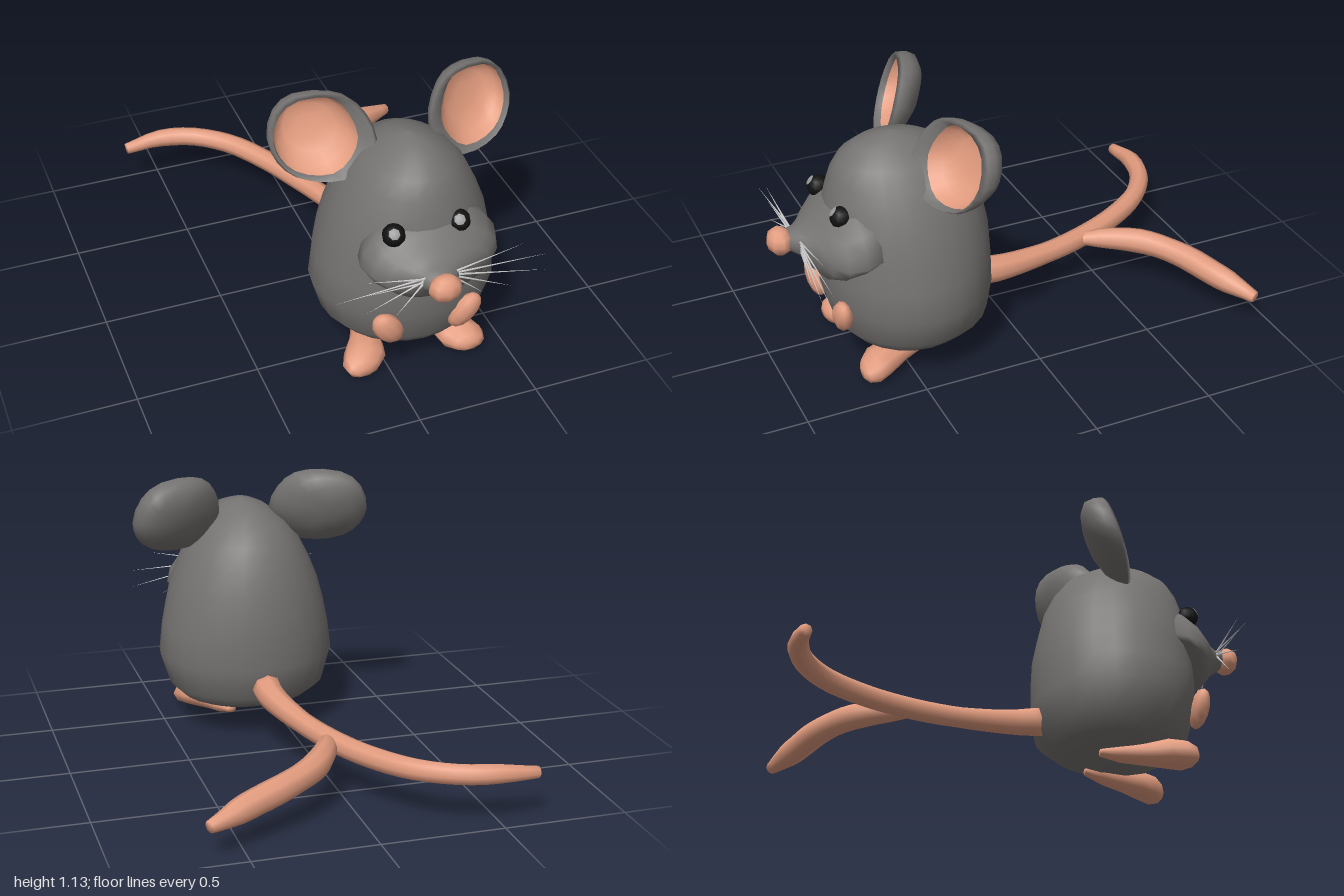
import * as THREE from 'three';

const V = (x, y, z) => new THREE.Vector3(x, y, z);
const mat = (name, color) => new THREE.MeshStandardMaterial({ name, color, side: THREE.DoubleSide });
const MID = 0.14; // x of the body's plane of symmetry

// Skin a list of closed rings, fanning each chosen end to its centre
function loft(rings, capStart = true, capEnd = true) {
  const n = rings[0].length, pos = [], idx = [];
  rings.forEach(r => r.forEach(p => pos.push(p.x, p.y, p.z)));
  for (let i = 0; i < rings.length - 1; i++) {
    for (let j = 0; j < n; j++) {
      const a = i * n + j, b = i * n + (j + 1) % n;
      idx.push(a, b, b + n, a, b + n, a + n);
    }
  }
  const cap = (i, flip) => {
    const c = rings[i].reduce((s, p) => s.add(p), V(0, 0, 0)).divideScalar(n);
    const k = pos.length / 3;
    pos.push(c.x, c.y, c.z);
    for (let j = 0; j < n; j++) {
      const a = i * n + j, b = i * n + (j + 1) % n;
      if (flip) idx.push(k, b, a); else idx.push(k, a, b);
    }
  };
  if (capStart) cap(0, true);
  if (capEnd) cap(rings.length - 1, false);
  const g = new THREE.BufferGeometry();
  g.setAttribute('position', new THREE.Float32BufferAttribute(pos, 3));
  g.setIndex(idx);
  g.computeVertexNormals();
  return g;
}

const angles = n => Array.from({ length: n }, (_, i) => i / n * Math.PI * 2);

// Sections along z: [z, centre x, centre y, half width, up, down]
const loftZ = (sections, n) => loft(sections.map(([z, cx, cy, w, up, down]) =>
  angles(n).map(a => V(cx + w * Math.cos(a), cy + Math.sin(a) * (Math.sin(a) > 0 ? up : down), z))));

// Tapered tube through points, radii interpolated along its length
function taper(points, radii, steps, n) {
  const curve = new THREE.CatmullRomCurve3(points.map(p => V(...p)));
  const { normals, binormals } = curve.computeFrenetFrames(steps);
  const rings = [];
  for (let i = 0; i <= steps; i++) {
    const t = i / steps * (radii.length - 1), k = Math.min(Math.floor(t), radii.length - 2);
    const r = THREE.MathUtils.lerp(radii[k], radii[k + 1], t - k), c = curve.getPointAt(i / steps);
    rings.push(angles(n).map(a => c.clone()
      .addScaledVector(normals[i], r * Math.cos(a)).addScaledVector(binormals[i], r * Math.sin(a))));
  }
  return loft(rings);
}

export function createModel() {
  const model = new THREE.Group();
  model.name = 'mouse';
  const fur = mat('greyFur', 0x757371), skin = mat('pinkSkin', 0xe29c7f);
  const black = mat('eyeBlack', 0x111111), shine = mat('eyeShine', 0x9a9a9a), hair = mat('whiskerWhite', 0xd8d8d8);
  const add = (name, geometry, material, parent = model) => {
    const m = new THREE.Mesh(geometry, material);
    m.name = name;
    parent.add(m);
    return m;
  };

  // Egg-shaped body: [y, half width, back z, front z]
  const body = [
    [0.075, 0.1, 0.38, 0.55], [0.1, 0.2, 0.29, 0.63], [0.14, 0.28, 0.19, 0.7], [0.2, 0.34, 0.11, 0.75],
    [0.33, 0.38, 0.095, 0.785], [0.45, 0.365, 0.095, 0.79], [0.55, 0.345, 0.1, 0.785], [0.65, 0.32, 0.12, 0.78],
    [0.75, 0.28, 0.145, 0.76], [0.84, 0.235, 0.19, 0.735], [0.91, 0.18, 0.245, 0.7],
    [0.965, 0.105, 0.34, 0.635], [0.99, 0.05, 0.42, 0.55], [1.0, 0.01, 0.47, 0.49]];
  add('body', loft(body.map(([y, w, b, f]) => angles(24).map(a =>
    V(MID + w * Math.sin(a), y, (b + f) / 2 + (f - b) / 2 * Math.cos(a))))), fur);

  // Snout with the overhanging smile
  add('snout', loftZ([
    [0.58, 0.145, 0.6, 0.26, 0.2, 0.02], [0.7, 0.145, 0.58, 0.285, 0.2, 0.06],
    [0.765, 0.145, 0.57, 0.26, 0.16, 0.105], [0.81, 0.14, 0.57, 0.21, 0.11, 0.12],
    [0.845, 0.13, 0.58, 0.14, 0.075, 0.1], [0.88, 0.115, 0.59, 0.08, 0.05, 0.06],
    [0.93, 0.105, 0.595, 0.045, 0.035, 0.035]], 20), fur);
  const nose = add('nose', new THREE.SphereGeometry(1, 8, 6), skin);
  nose.scale.set(0.068, 0.057, 0.053);
  nose.position.set(0.105, 0.595, 0.947);

  // Eyes with a thin highlight cap
  [[-0.02, 'rightEye'], [0.248, 'leftEye']].forEach(([x, name]) => {
    const eye = new THREE.Group();
    eye.name = name;
    eye.position.set(x, 0.727, 0.737);
    model.add(eye);
    add('eyeball', new THREE.SphereGeometry(0.046, 10, 8), black, eye);
    const cap = add('eyeHighlight', new THREE.SphereGeometry(0.048, 7, 2, 0, Math.PI * 2, 0, 0.5), shine, eye);
    cap.quaternion.setFromUnitVectors(V(0, 1, 0), V(-0.25, 0.65, 0.72).normalize());
  });

  // Cupped ears, outline given for one side and mirrored
  const rim = new THREE.CatmullRomCurve3([
    [-0.37, 0.96], [-0.34, 1.06], [-0.27, 1.12], [-0.14, 1.138], [-0.05, 1.115], [0.005, 1.05], [0.03, 0.96],
    [-0.01, 0.88], [-0.09, 0.815], [-0.2, 0.805], [-0.3, 0.835], [-0.35, 0.89]].map(p => V(p[0], p[1], 0)), true)
    .getPoints(22).slice(0, 22);
  for (const side of [1, -1]) {
    const ring = (sx, sy, depth, shift) => {
      const r = rim.map(p => {
        const x = -0.17 + shift + (p.x + 0.17) * sx, y = 0.97 + (p.y - 0.97) * sy;
        return V(MID + side * (x - MID), y, 0.385 + 0.3 * (x + 0.17) - 0.34 * (y - 0.97) - depth);
      });
      return side > 0 ? r : r.reverse();
    };
    const ear = new THREE.Group();
    ear.name = side > 0 ? 'rightEar' : 'leftEar';
    model.add(ear);
    add('earShell', loft([
      ring(0.78, 0.9, 0.03, -0.02), ring(0.93, 0.96, 0, 0), ring(1, 1, 0.015, 0), ring(0.96, 0.96, 0.055, -0.002),
      ring(0.82, 0.84, 0.095, -0.008), ring(0.55, 0.58, 0.125, -0.012), ring(0.25, 0.27, 0.138, -0.015)],
    false, true), fur, ear);
    add('innerEar', loft([
      ring(0.25, 0.27, 0.108, -0.02), ring(0.5, 0.55, 0.1, -0.02), ring(0.68, 0.78, 0.075, -0.02),
      ring(0.78, 0.9, 0.03, -0.02)].reverse().map(r => r.slice().reverse()), false, true), skin, ear);
  }

  // Whiskers: a fan of thin hairs on each side of the nose
  const whisker = (from, to) => {
    const d = to.clone().sub(from);
    const m = add('whisker', new THREE.ConeGeometry(0.0055, d.length(), 4), hair);
    m.position.copy(from).addScaledVector(d, 0.5);
    m.quaternion.setFromUnitVectors(V(0, 1, 0), d.normalize());
  };
  [[-0.32, 0.6], [-0.2, 0.668], [-0.19, 0.52], [-0.075, 0.47], [-0.2, 0.605]]
    .forEach(([x, y], i) => whisker(V(0.05, 0.61 - i * 0.005, 0.885), V(x, y, 0.9)));
  [[0.46, 0.668], [0.56, 0.59], [0.555, 0.513], [0.42, 0.47], [0.3, 0.47]]
    .forEach(([x, y], i) => whisker(V(0.17, 0.61 - i * 0.007, 0.885), V(x, y, 0.885)));

  // Front paws and feet, one of each per side
  for (const side of [1, -1]) {
    const label = side > 0 ? 'right' : 'left';
    const paw = add(label + 'Paw', new THREE.SphereGeometry(1, 9, 7), skin);
    paw.scale.set(0.056, 0.088, 0.04);
    paw.position.set(0.118 - side * 0.163, 0.297, 0.763);
    paw.rotation.set(0.12, 0, side * 0.6);
    add(label + 'Foot', loftZ([
      [0.34, 0, 0.08, 0.02, 0.015, 0.015], [0.42, -0.02, 0.075, 0.045, 0.03, 0.035],
      [0.52, -0.05, 0.07, 0.06, 0.045, 0.045], [0.6, -0.08, 0.067, 0.085, 0.062, 0.055],
      [0.66, -0.1, 0.06, 0.092, 0.058, 0.058], [0.7, -0.115, 0.053, 0.065, 0.038, 0.04],
      [0.715, -0.12, 0.05, 0.03, 0.02, 0.02]]
      .map(([z, x, ...rest]) => [z, 0.115 - side * (0.115 - x), ...rest]), 10), skin);
  }

  // Forked tail
  add('tail', taper([
    [0.13, 0.25, 0.14], [0.13, 0.235, 0.02], [0.07, 0.21, -0.25], [0, 0.2, -0.45], [-0.08, 0.2, -0.63],
    [-0.2, 0.205, -0.81], [-0.35, 0.21, -0.92], [-0.5, 0.21, -0.955], [-0.6, 0.2, -0.95], [-0.65, 0.195, -0.945]],
  [0.065, 0.053, 0.045, 0.045, 0.045, 0.045, 0.043, 0.042, 0.025], 28, 8), skin);
  add('tailBranch', taper([
    [0.01, 0.205, -0.37], [0.07, 0.205, -0.53], [0.16, 0.2, -0.67], [0.3, 0.185, -0.775],
    [0.46, 0.16, -0.85], [0.58, 0.138, -0.91], [0.635, 0.13, -0.935]],
  [0.015, 0.045, 0.055, 0.052, 0.055, 0.052, 0.025], 20, 8), skin);

  return model;
}
